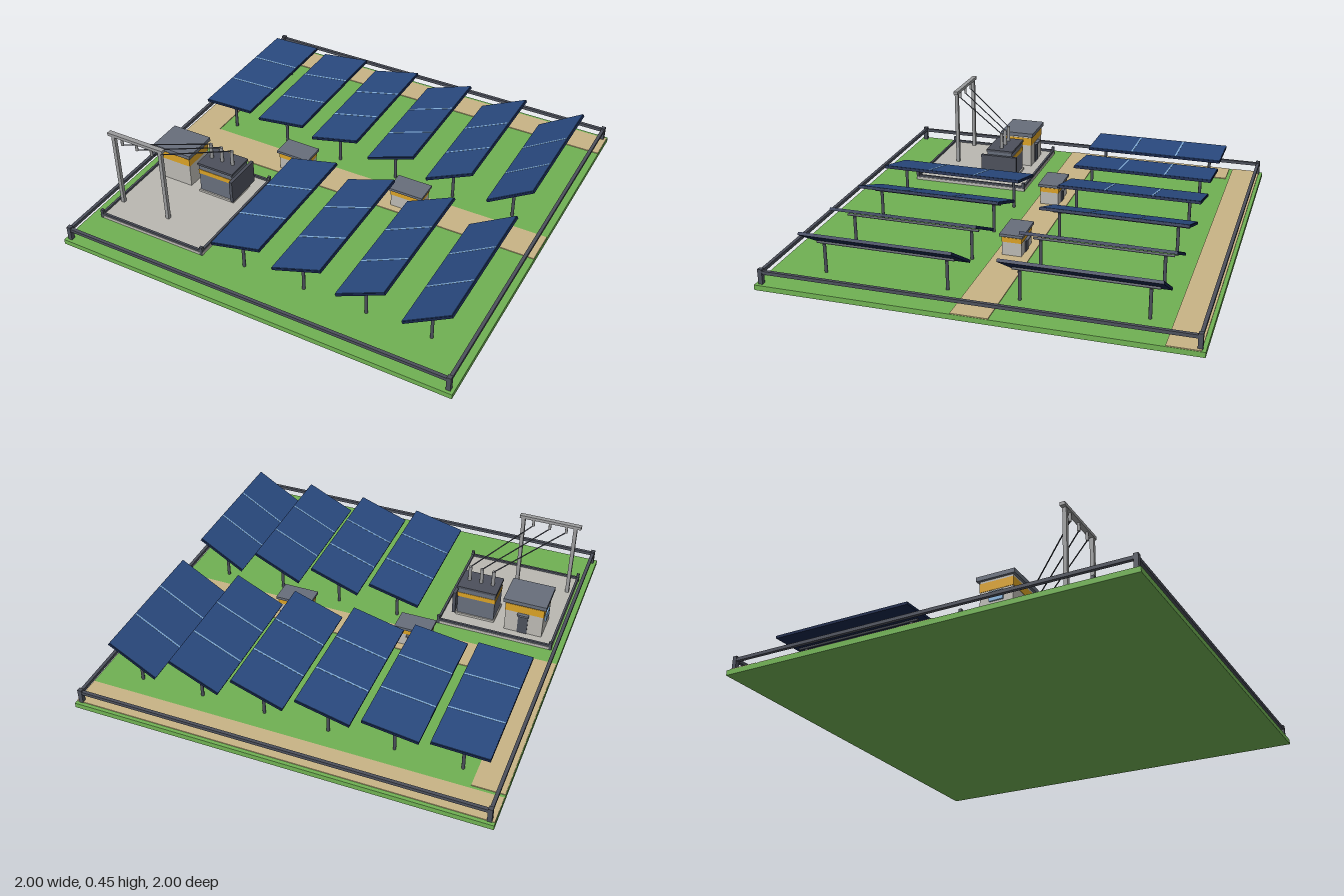
import * as THREE from 'three';

const mat = (name, color, extra = {}) => {
  const m = new THREE.MeshStandardMaterial({ color, ...extra });
  m.name = name;
  return m;
};
const grass = mat('grass green', 0x70b153);
const sand = mat('sand path', 0xc8b485);
const concrete = mat('concrete', 0xbab8b2);
const cell = mat('panel blue', 0x2a4a80);
const navy = mat('panel frame navy', 0x16264a);
const pale = mat('pale blue', 0x86b2dc);
const steel = mat('dark steel', 0x4c505b);
const slate = mat('slate grey', 0x676e7b);
const yellow = mat('warning yellow', 0xd8a026);
const zinc = mat('galvanised grey', 0x9a9b9c);

// Box given by its centre and size
function box(parent, name, m, [x, y, z], [w, h, d]) {
  const mesh = new THREE.Mesh(new THREE.BoxGeometry(w, h, d), m);
  mesh.name = name;
  mesh.position.set(x, y, z);
  parent.add(mesh);
  return mesh;
}

// Round bar between two points
function rod(parent, name, m, a, b, r, sides = 8) {
  const p = new THREE.Vector3(...a), q = new THREE.Vector3(...b);
  const mesh = new THREE.Mesh(new THREE.CylinderGeometry(r, r, p.distanceTo(q), sides), m);
  mesh.name = name;
  mesh.position.copy(p).add(q).multiplyScalar(0.5);
  mesh.quaternion.setFromUnitVectors(new THREE.Vector3(0, 1, 0), q.sub(p).normalize());
  parent.add(mesh);
  return mesh;
}

function group(parent, name, x = 0, y = 0, z = 0) {
  const g = new THREE.Group();
  g.name = name;
  g.position.set(x, y, z);
  parent.add(g);
  return g;
}

// Rectangle of corner posts joined by rails
function fence(parent, name, x0, x1, z0, z1, base, top, railY, t) {
  const g = group(parent, name);
  for (const x of [x0, x1]) {
    for (const z of [z0, z1]) box(g, 'fencePost', steel, [x, (base + top) / 2, z], [t * 1.3, top - base, t * 1.3]);
    box(g, 'fenceRail', steel, [x, railY, (z0 + z1) / 2], [t, t, z1 - z0]);
  }
  for (const z of [z0, z1]) box(g, 'fenceRail', steel, [(x0 + x1) / 2, railY, z], [x1 - x0, t, t]);
}

// Table of three solar modules, tilted up towards +x
function solarTable(parent, x, z, length, tilt, postZ) {
  const g = group(parent, 'solarTable');
  for (const pz of postZ) rod(g, 'tablePost', steel, [x, 0.02, pz], [x, 0.165, pz], 0.008);
  rod(g, 'torqueTube', steel, [x, 0.172, z - length / 2 + 0.03], [x, 0.172, z + length / 2 - 0.03], 0.006);
  const tray = group(g, 'tiltedPanel', x, 0.187, z);
  tray.rotation.z = THREE.MathUtils.degToRad(tilt);
  box(tray, 'panelFrame', navy, [0, 0, 0], [0.266, 0.012, length]);
  box(tray, 'solarCells', cell, [0, 0.007, 0], [0.262, 0.003, length - 0.004]);
  for (const s of [-1, 1]) box(tray, 'moduleSeam', pale, [0, 0.0085, s * length / 6], [0.26, 0.002, 0.008]);
}

// Equipment hut with yellow band, overhanging roof, back door and side window
function hut(parent, name, x, base, z, w, h, d, roofH) {
  const g = group(parent, name, x, base, z);
  const e = w * 0.065;
  box(g, 'hutWalls', concrete, [0, h / 2, 0], [w, h, d]);
  box(g, 'hutBand', yellow, [0, h * 0.82, 0], [w + 0.004, h * 0.24, d + 0.004]);
  box(g, 'hutRoof', slate, [0, h + roofH / 2, 0], [w + 2 * e, roofH, d + 2 * e]);
  box(g, 'hutDoor', steel, [0.02 * w, h * 0.31, -d / 2 - 0.002], [w * 0.26, h * 0.6, 0.006]);
  box(g, 'doorCanopy', slate, [0.02 * w, h * 0.65, -d / 2 - e * 0.75], [w * 0.3, h * 0.06, e * 1.5]);
  box(g, 'hutWindow', pale, [-w / 2 - 0.003, h * 0.52, 0], [0.008, h * 0.26, d * 0.42]);
}

export function createModel() {
  const root = new THREE.Group();
  root.name = 'solarFarm';

  // Ground and paths
  box(root, 'ground', grass, [0, 0.0125, 0], [2, 0.025, 2]);
  box(root, 'backPath', sand, [0, 0.0265, -0.91], [1.996, 0.005, 0.145]);
  box(root, 'middlePath', sand, [0, 0.0265, -0.005], [1.996, 0.005, 0.17]);
  box(root, 'sidePath', sand, [-0.922, 0.0265, -0.455], [0.15, 0.005, 0.73]);
  fence(root, 'outerFence', -0.975, 0.975, -0.975, 0.975, 0.02, 0.097, 0.081, 0.016);

  // Solar tables: tilt grows by six degrees per column
  for (let i = 0; i < 6; i++) {
    const x = -0.785 + i * 0.3155, tilt = 2 + i * 6;
    solarTable(root, x, -0.453, 0.705, tilt, [-0.165, -0.735]);
    if (i > 1) solarTable(root, x, 0.457, 0.715, tilt, [0.165, 0.75]);
  }

  // Inverter huts on the middle path
  for (const x of [-0.308, 0.32]) hut(root, 'inverterHut', x, 0.027, -0.002, 0.158, 0.098, 0.094, 0.013);

  // Substation pad and low fence
  const sub = group(root, 'substation');
  box(sub, 'pad', concrete, [-0.655, 0.03, 0.48], [0.585, 0.02, 0.61]);
  fence(sub, 'padFence', -0.942, -0.37, 0.182, 0.778, 0.025, 0.07, 0.046, 0.011);
  hut(sub, 'controlHouse', -0.787, 0.04, 0.315, 0.19, 0.172, 0.157, 0.02);

  // Transformer with cover, band, radiator and bushings
  const tr = group(sub, 'transformer');
  box(tr, 'transformerPlinth', concrete, [-0.533, 0.045, 0.335], [0.2, 0.012, 0.15]);
  box(tr, 'transformerTank', slate, [-0.533, 0.125, 0.335], [0.19, 0.155, 0.135]);
  box(tr, 'transformerBand', yellow, [-0.533, 0.163, 0.335], [0.194, 0.024, 0.139]);
  box(tr, 'transformerCover', steel, [-0.533, 0.207, 0.335], [0.2, 0.012, 0.145]);
  box(tr, 'radiator', steel, [-0.428, 0.125, 0.335], [0.016, 0.12, 0.195]);

  // Gantry, hanging insulators and wires
  const gantry = group(sub, 'gantry');
  for (const x of [-0.915, -0.65]) box(gantry, 'gantryPost', zinc, [x, 0.235, 0.65], [0.018, 0.41, 0.018]);
  box(gantry, 'gantryBeam', zinc, [-0.787, 0.442, 0.65], [0.312, 0.016, 0.024]);
  for (let i = 0; i < 3; i++) {
    const gx = -0.87 + i * 0.084, bx = -0.595 + i * 0.06;
    rod(gantry, 'hangingInsulator', zinc, [gx, 0.395, 0.65], [gx, 0.437, 0.65], 0.007);
    rod(tr, 'bushing', zinc, [bx, 0.21, 0.335], [bx, 0.295, 0.335], 0.009);
    rod(gantry, 'wire', steel, [gx, 0.397, 0.65], [bx, 0.293, 0.335], 0.003, 6);
  }
  return root;
}
